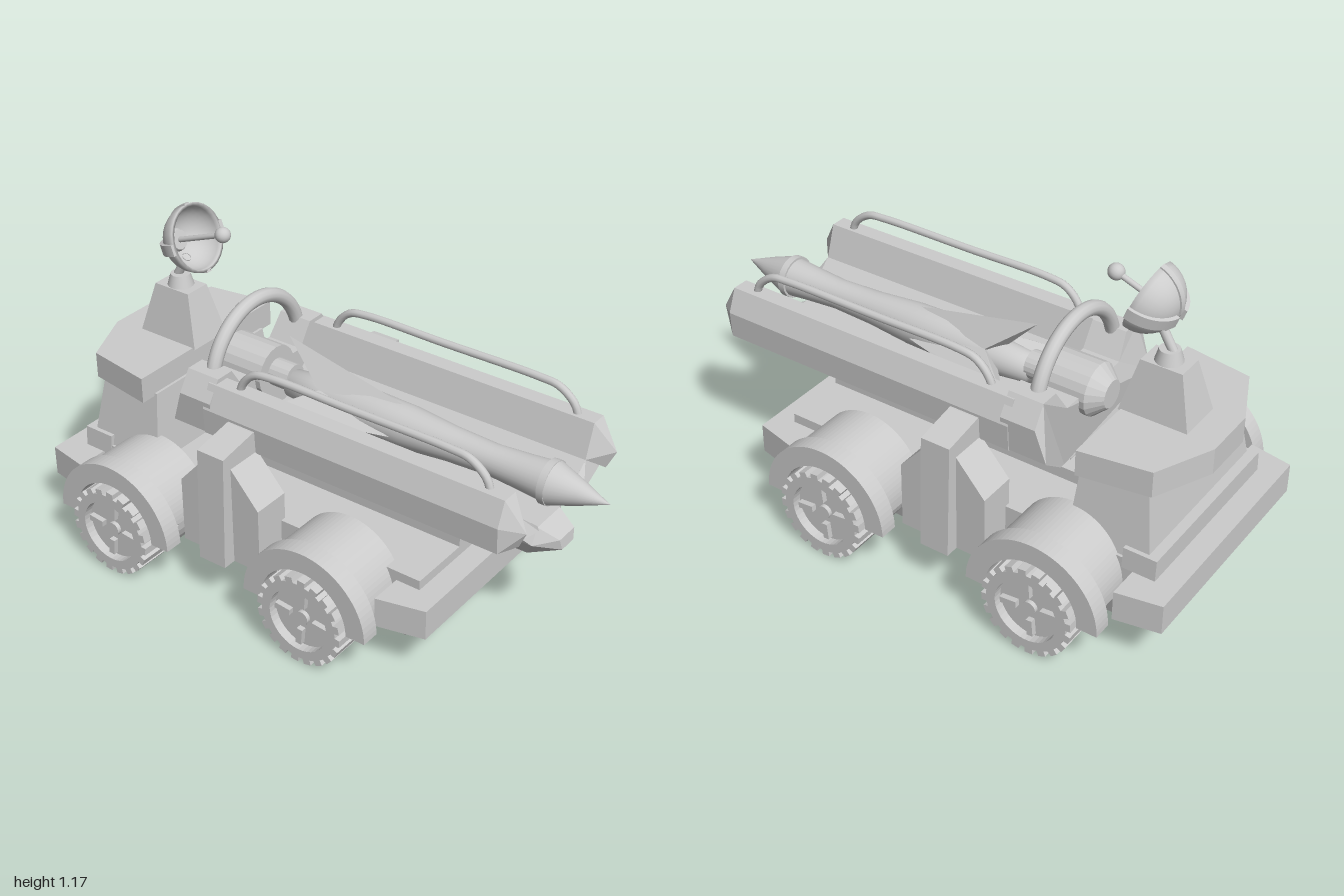
import * as THREE from 'three';
import { ConvexGeometry } from 'three/addons/geometries/ConvexGeometry.js';

const flat = new THREE.MeshStandardMaterial({ color: 0xcccccc, flatShading: true });
const smooth = new THREE.MeshStandardMaterial({ color: 0xcccccc, side: THREE.DoubleSide });

const V = (x, y, z) => new THREE.Vector3(x, y, z);
const shapeOf = pts => new THREE.Shape(pts.map(p => new THREE.Vector2(p[0], p[1])));
const hullOf = pts => new ConvexGeometry(pts.map(p => V(...p)));
const extrude = (shape, depth) =>
  new THREE.ExtrudeGeometry(shape, { depth, bevelEnabled: false, curveSegments: 20 });

// Side outline in (z, y), extruded between two x positions
const sideways = (shape, x0, x1) => extrude(shape, x1 - x0).rotateY(-Math.PI / 2).translate(x1, 0, 0);

// Plan outline given as a right half in (x, z), mirrored, between two heights
function plan(half, y0, y1) {
  const pts = [...half, ...half.slice().reverse().map(([x, z]) => [-x, z])];
  return extrude(shapeOf(pts.map(([x, z]) => [x, -z])), y1 - y0).rotateX(-Math.PI / 2).translate(0, y0, 0);
}

// Box whose bottom and top rectangles differ: [halfWidth, zBack, zFront]
function taper(y0, bottom, y1, top) {
  const g = new THREE.BoxGeometry(2, 1, 1), p = g.attributes.position;
  for (let i = 0; i < p.count; i++) {
    const up = p.getY(i) > 0, [w, zb, zf] = up ? top : bottom;
    p.setXYZ(i, p.getX(i) * w, up ? y1 : y0, p.getZ(i) > 0 ? zf : zb);
  }
  g.computeVertexNormals();
  return g;
}

// Mirrored cross-section run along z; each point [x, y, zFront, zBack] sets its own ends
function channel(half) {
  const pts = [...half, ...half.slice().reverse().map(([x, y]) => [-x, y])];
  const g = extrude(shapeOf(pts), 1), p = g.attributes.position;
  for (let i = 0; i < p.count; i++) {
    const x = Math.abs(p.getX(i)), y = p.getY(i);
    const hit = half.find(h => Math.hypot(h[0] - x, h[1] - y) < 1e-4);
    p.setZ(i, p.getZ(i) > 0.5 ? hit[2] : hit[3]);
  }
  g.computeVertexNormals();
  return g;
}

// Half ring over a wheel with legs reaching down to a base height
function arch(cz, cy, rOut, rIn, base) {
  const s = new THREE.Shape();
  s.moveTo(cz + rOut, base);
  s.absarc(cz, cy, rOut, 0, Math.PI, false);
  s.lineTo(cz - rOut, base);
  s.lineTo(cz - rIn, base);
  s.absarc(cz, cy, rIn, Math.PI, 0, true);
  s.lineTo(cz + rIn, base);
  return s;
}

function gearShape(r, root, teeth) {
  const pts = [];
  for (let i = 0; i < teeth; i++) {
    [[0, root], [0.38, root], [0.42, r], [0.96, r]].forEach(([f, q]) => {
      const a = (i + f) / teeth * Math.PI * 2;
      pts.push([Math.cos(a) * q, Math.sin(a) * q]);
    });
  }
  const s = shapeOf(pts);
  s.holes.push(new THREE.Path().absarc(0, 0, 0.115, 0, Math.PI * 2, true));
  return s;
}

export function createModel() {
  const model = new THREE.Group();
  const add = (name, geo, mat = flat, parent = model) => {
    const m = new THREE.Mesh(geo, mat);
    m.name = name;
    parent.add(m);
    return m;
  };

  // Chassis
  add('hull', taper(0.048, [0.31, -0.86, 0.46], 0.18, [0.345, -0.925, 0.535]));
  add('chassis', taper(0.175, [0.34, -0.9, 0.53], 0.285, [0.34, -0.9, 0.53]));
  add('deck', taper(0.285, [0.34, -0.9, 0.53], 0.32, [0.34, -0.9, 0.53]));
  add('pedestal', taper(0.32, [0.11, -0.55, 0.53], 0.365, [0.11, -0.5, 0.53]));
  add('frontBumper', plan([[0.46, 0.44], [0.42, 0.61]], 0.175, 0.285));
  add('rearBumper', plan([[0.43, -1], [0.46, -0.84]], 0.175, 0.285));
  add('rearStep', taper(0.285, [0.345, -0.92, -0.8], 0.36, [0.34, -0.92, -0.8]));

  // Wheels and fenders
  for (const z of [0.225, -0.6]) for (const s of [-1, 1]) {
    const span = (a, b) => s > 0 ? [a, b] : [-b, -a];
    const wheel = new THREE.Group();
    wheel.name = 'wheel';
    wheel.position.set(0, 0.17, z);
    model.add(wheel);
    add('tyre', sideways(gearShape(0.167, 0.148, 20), ...span(0.41, 0.583)), flat, wheel);
    const drum = (name, r, a, b) =>
      add(name, new THREE.CylinderGeometry(r, r, b - a, 28).rotateZ(Math.PI / 2).translate(s * (a + b) / 2, 0, 0), flat, wheel);
    drum('innerDrum', 0.16, 0.29, 0.4);
    drum('wheelDisc', 0.117, 0.38, 0.55);
    drum('hub', 0.025, 0.54, 0.565);
    for (let i = 0; i < 4; i++) {
      add('spoke', new THREE.BoxGeometry(0.025, 0.06, 0.022)
        .translate(s * 0.557, 0.075, 0).rotateX(i * Math.PI / 2 + 0.1), flat, wheel);
    }
    add('fenderFlange', sideways(arch(z, 0.175, 0.245, 0.172, 0.174), ...span(0.49, 0.557)));
    add('fender', sideways(arch(z, 0.214, 0.205, 0.172, 0.195), ...span(0.295, 0.49)));
  }

  // Side pylons holding the cradle
  const buttress = shapeOf([[-0.36, 0.175], [-0.03, 0.175], [-0.03, 0.42], [-0.14, 0.545], [-0.25, 0.545], [-0.36, 0.42]]);
  for (const s of [-1, 1]) {
    add('pylonBase', sideways(buttress, ...(s > 0 ? [0.32, 0.46] : [-0.46, -0.32])));
    const post = shapeOf([[0.32, 0.175], [0.51, 0.175], [0.495, 0.597], [0.34, 0.625], [0.32, 0.625]].map(([x, y]) => [s * x, y]));
    add('pylonPost', extrude(post, 0.11).translate(0, 0, -0.25));
  }

  // Launch cradle with pointed wall ends and keel
  add('cradle', channel([
    [0.1, 0.455, 0.72, -0.36], [0.21, 0.475, 0.72, -0.36], [0.33, 0.54, 0.8, -0.36], [0.335, 0.635, 0.8, -0.36],
    [0.3, 0.72, 0.8, -0.36], [0.24, 0.72, 0.8, -0.36], [0.2, 0.6, 0.8, -0.36], [0.13, 0.54, 0.8, -0.36],
    [0.07, 0.49, 0.79, -0.36]]));
  for (const s of [-1, 1]) {
    add('wallProw', hullOf([[s * 0.335, 0.635, 0.8], [s * 0.3, 0.72, 0.8], [s * 0.24, 0.72, 0.8], [s * 0.2, 0.6, 0.8],
      [s * 0.33, 0.54, 0.8], [s * 0.28, 0.615, 0.87], [s * 0.27, 0.55, 0.84]]));
    add('floorProw', hullOf([[s * 0.2, 0.6, 0.8], [s * 0.33, 0.54, 0.8], [s * 0.21, 0.475, 0.72], [s * 0.1, 0.455, 0.72],
      [s * 0.07, 0.49, 0.79], [s * 0.13, 0.54, 0.8], [s * 0.14, 0.53, 0.835]]));
  }
  add('keel', channel([[0.055, 0.36, 0.75, -0.43], [0.1, 0.43, 0.79, -0.43], [0.11, 0.46, 0.72, -0.43], [0.07, 0.485, 0.79, -0.43]]));
  add('keelProw', hullOf([-1, 1].flatMap(s => [[s * 0.055, 0.36, 0.75], [s * 0.1, 0.43, 0.79], [s * 0.07, 0.485, 0.79],
    [s * 0.035, 0.41, 0.865], [s * 0.045, 0.45, 0.86]])));
  add('cradleYoke', channel([
    [0.1, 0.37, -0.33, -0.43], [0.22, 0.46, -0.33, -0.49], [0.325, 0.54, -0.33, -0.5], [0.333, 0.66, -0.33, -0.46],
    [0.285, 0.735, -0.33, -0.46], [0.215, 0.735, -0.33, -0.46], [0.16, 0.65, -0.33, -0.47]]));
  const hoop = add('hoop', new THREE.TorusGeometry(0.235, 0.026, 12, 40, Math.PI), smooth);
  hoop.position.set(0, 0.655, -0.4);
  for (const x of [-0.265, 0.265]) {
    const path = new THREE.CatmullRomCurve3([V(x, 0.7, 0.73), V(x, 0.75, 0.71), V(x, 0.795, 0.65), V(x, 0.803, 0.58),
      V(x, 0.803, 0.2), V(x, 0.803, -0.12), V(x, 0.79, -0.19), V(x, 0.74, -0.24), V(x, 0.64, -0.27)]);
    add('sideRail', new THREE.TubeGeometry(path, 60, 0.014, 10), smooth);
  }

  // Rocket and its rear mount
  const lathe = pts => new THREE.LatheGeometry(pts.map(p => new THREE.Vector2(...p)), 28);
  const rocket = new THREE.Group();
  rocket.name = 'rocket';
  rocket.position.y = 0.62;
  model.add(rocket);
  add('rocketBody', lathe([[0, -0.24], [0.05, -0.24], [0.065, -0.1], [0.078, 0.1], [0.075, 0.25], [0.06, 0.42],
    [0.054, 0.58], [0.062, 0.7], [0.07, 0.79]]).rotateX(Math.PI / 2), smooth, rocket);
  add('rocketCollar', new THREE.CylinderGeometry(0.077, 0.077, 0.025, 28).rotateX(Math.PI / 2).translate(0, 0, 0.79), smooth, rocket);
  add('rocketNose', lathe([[0.075, 0.8], [0.04, 0.9], [0, 1]]).rotateX(Math.PI / 2), smooth, rocket);
  for (const [a, r] of [[0, 0.18], [1.7, 0.19], [-1.7, 0.19]]) {
    const fin = add('rocketFin', hullOf([[0, r, -0.25], [0.012, r - 0.03, -0.2], [-0.012, r - 0.03, -0.2],
      [0.06, 0.05, -0.08], [-0.06, 0.05, -0.08], [0, 0.02, -0.1], [0, 0.078, 0.22]]), flat, rocket);
    fin.rotation.z = a;
  }
  const mount = (name, r0, r1, z0, z1) => add(name,
    new THREE.CylinderGeometry(r1, r0, z1 - z0, 20).rotateX(Math.PI / 2).translate(0, 0.64, (z0 + z1) / 2));
  mount('mountBack', 0.05, 0.095, -0.54, -0.49);
  mount('mountDrum', 0.095, 0.095, -0.49, -0.31);
  mount('mountSocket', 0.05, 0.05, -0.32, -0.23);

  // Rear cabin, roof and mast tower
  add('cabin', taper(0.32, [0.33, -0.89, -0.59], 0.58, [0.29, -0.85, -0.61]));
  add('cabinRoof', plan([[0.1, -0.965], [0.31, -0.87], [0.35, -0.62]], 0.57, 0.665));
  add('tower', taper(0.66, [0.085, -0.86, -0.61], 0.85, [0.05, -0.81, -0.66]));
  add('mastCollar', new THREE.CylinderGeometry(0.035, 0.048, 0.045, 20).translate(0, 0.87, -0.735), smooth);
  add('mast', new THREE.TubeGeometry(new THREE.LineCurve3(V(0, 0.88, -0.75), V(0, 0.965, -0.7)), 1, 0.016, 12), smooth);

  // Dish with straps, feed rod and ball; local +y is the aiming axis
  const dish = new THREE.Group();
  dish.name = 'dish';
  dish.position.set(0, 1.055, -0.643);
  dish.rotation.x = Math.PI / 2 - 0.36;
  model.add(dish);
  const bowl = [];
  for (let i = 0; i <= 10; i++) bowl.push([0.122 * Math.sin(i * Math.PI / 20), -0.12 * Math.cos(i * Math.PI / 20)]);
  for (let i = 10; i >= 0; i--) bowl.push([0.112 * Math.sin(i * Math.PI / 20), -0.11 * Math.cos(i * Math.PI / 20)]);
  add('dishBowl', lathe(bowl), smooth, dish);
  for (let i = 0; i < 4; i++) {
    const strap = new THREE.Shape();
    const wide = i % 2 ? 0.022 : 0.04, r = i % 2 ? 0.126 : 0.132;
    strap.absarc(0, 0, r, -1.4, 0, false);
    strap.absarc(0, 0, 0.116, 0, -1.4, true);
    add('dishStrap', extrude(strap, wide).translate(0, 0, -wide / 2).rotateY(i * Math.PI / 2), flat, dish);
  }
  add('feedBase', new THREE.CylinderGeometry(0.035, 0.045, 0.02, 20).translate(0, -0.1, 0), smooth, dish);
  add('feedRod', new THREE.CylinderGeometry(0.01, 0.01, 0.22, 12).translate(0, 0.01, 0), smooth, dish);
  add('feedBall', new THREE.SphereGeometry(0.028, 18, 12).translate(0, 0.12, 0), smooth, dish);

  return model;
}
